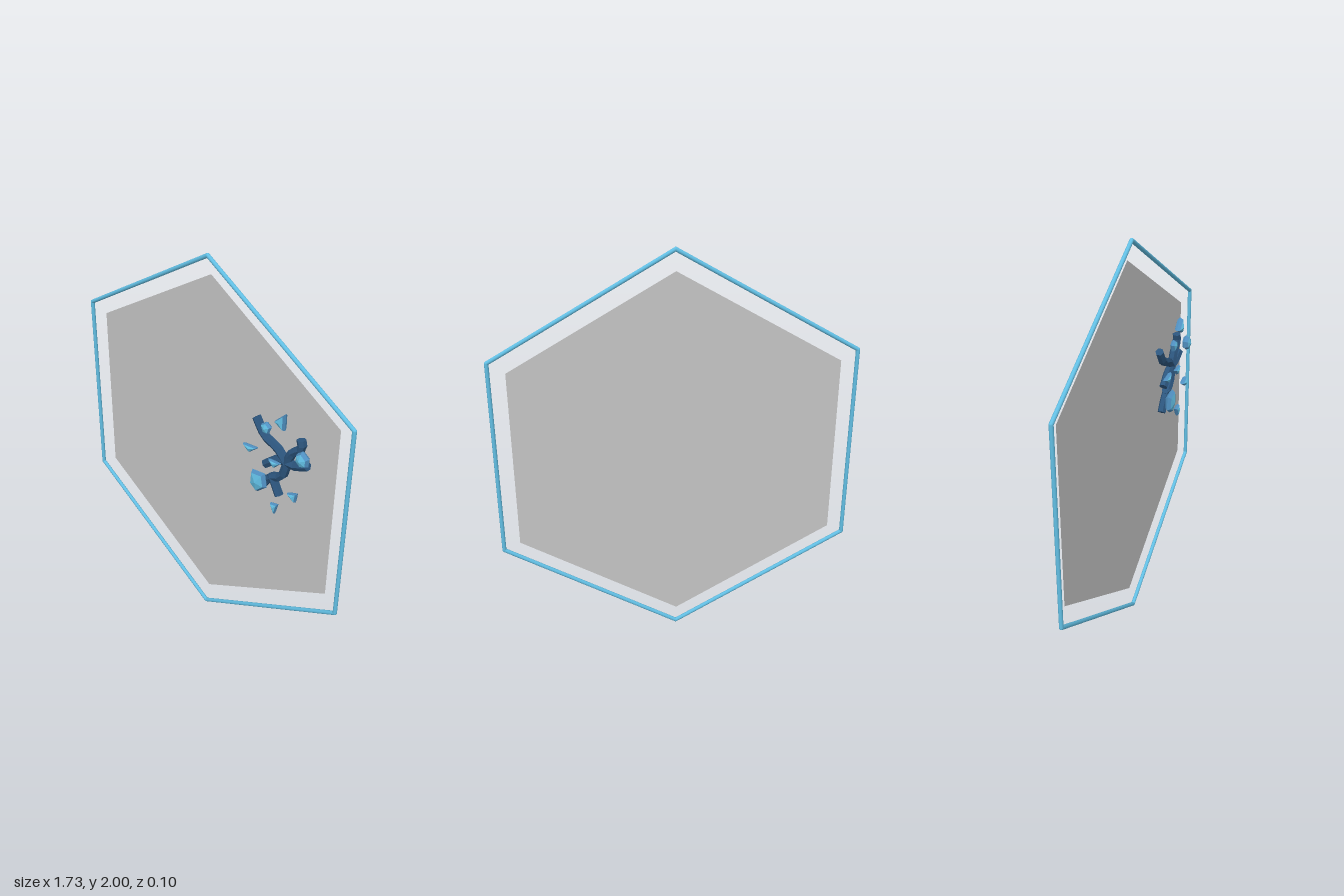
import * as THREE from 'three';
import { ConvexGeometry } from 'three/addons/geometries/ConvexGeometry.js';

const mat = (name, color, extra = {}) => {
  const m = new THREE.MeshStandardMaterial({ color, ...extra });
  m.name = name;
  return m;
};

// Pointy-topped hexagon corners
const hexagon = (r, cy, z) => Array.from({ length: 6 }, (_, i) => {
  const a = Math.PI / 2 + i * Math.PI / 3;
  return new THREE.Vector3(r * Math.cos(a), cy + r * Math.sin(a), z);
});

export function createModel() {
  const root = new THREE.Group();
  root.name = 'crackedHexPanel';
  const panelGrey = mat('panelGrey', 0xc5c5c5, { side: THREE.DoubleSide });
  const frameBlue = mat('frameBlue', 0x62bfe4);
  const crackNavy = mat('crackNavy', 0x2c557d, { flatShading: true });
  const crystalBlue = mat('crystalBlue', 0x4f8fc0, { flatShading: true });
  const crystalFace = mat('crystalFace', 0x62bfe4, { flatShading: true });

  const add = (parent, name, geometry, material) => {
    const mesh = new THREE.Mesh(geometry, material);
    mesh.name = name;
    parent.add(mesh);
    return mesh;
  };
  const group = (name) => {
    const g = new THREE.Group();
    g.name = name;
    root.add(g);
    return g;
  };

  // Flat backing panel
  const panelShape = new THREE.Shape(hexagon(0.895, 1.003, 0).map(p => new THREE.Vector2(p.x, p.y)));
  add(root, 'panel', new THREE.ShapeGeometry(panelShape), panelGrey).position.z = -0.055;

  // Slim round frame: six rods with ball joints
  const frame = group('frame');
  const corners = hexagon(0.99, 1, -0.034);
  corners.forEach((a, i) => {
    const b = corners[(i + 1) % 6];
    const rod = add(frame, 'frameRod', new THREE.CylinderGeometry(0.01, 0.01, a.distanceTo(b), 12, 1, true), frameBlue);
    rod.position.copy(a).lerp(b, 0.5);
    rod.quaternion.setFromUnitVectors(new THREE.Vector3(0, 1, 0), b.clone().sub(a).normalize());
    add(frame, 'frameJoint', new THREE.SphereGeometry(0.01, 12, 8), frameBlue).position.copy(a);
  });

  // Branching crack made of six-sided tubes with closed ends
  const cracks = group('cracks');
  const R = 0.022, Z = -0.018;
  [
    [[0.335, 1.34], [0.392, 1.265], [0.471, 1.235], [0.53, 1.18]],
    [[0.6, 1.34], [0.607, 1.30], [0.555, 1.25], [0.524, 1.175]],
    [[0.645, 1.225], [0.566, 1.19], [0.487, 1.185], [0.402, 1.12]],
    [[0.53, 1.19], [0.503, 1.103], [0.434, 1.06], [0.378, 0.985]],
    [[0.44, 1.085], [0.465, 1.04], [0.492, 0.99]],
  ].forEach(path => {
    const curve = new THREE.CatmullRomCurve3(path.map(([x, y]) => new THREE.Vector3(x, y, Z)));
    add(cracks, 'crackBranch', new THREE.TubeGeometry(curve, 7, R, 6), crackNavy);
    [0, 1].forEach(t => {
      const cap = add(cracks, 'crackEnd', new THREE.CircleGeometry(R, 6), crackNavy);
      cap.position.copy(curve.getPoint(t));
      const dir = curve.getTangent(t).multiplyScalar(t ? 1 : -1);
      cap.lookAt(cap.position.clone().add(dir));
    });
  });

  // Faceted crystals: [outline, half depth]; darker body with a lighter raised front
  const crystals = group('crystals');
  [
    [[[0.54, 1.458], [0.483, 1.402], [0.54, 1.373]], 0.023],
    [[[0.405, 1.352], [0.434, 1.373], [0.463, 1.355], [0.45, 1.318], [0.42, 1.315]], 0.018],
    [[[0.615, 1.295], [0.645, 1.32], [0.682, 1.295], [0.68, 1.255], [0.645, 1.24], [0.617, 1.26]], 0.024],
    [[[0.297, 1.203], [0.39, 1.215], [0.34, 1.172]], 0.016],
    [[[0.358, 1.087], [0.435, 1.099], [0.45, 1.03], [0.397, 0.982], [0.353, 1.013]], 0.024],
    [[[0.575, 1.07], [0.633, 1.092], [0.625, 1.04]], 0.018],
    [[[0.48, 0.965], [0.525, 0.975], [0.507, 0.913]], 0.016],
    [[[0.455, 1.193], [0.53, 1.2], [0.49, 1.16]], 0.014],
  ].forEach(([outline, d]) => {
    const cx = outline.reduce((s, p) => s + p[0], 0) / outline.length;
    const cy = outline.reduce((s, p) => s + p[1], 0) / outline.length;
    const ring = (scale, z) => outline.map(([x, y]) =>
      new THREE.Vector3(cx + (x - cx) * scale, cy + (y - cy) * scale, z));
    const tip = (z) => new THREE.Vector3(cx, cy, z);
    const front = ring(0.78, 0.55 * d);
    const body = [...front, ...ring(1, -0.2 * d), ...ring(0.75, -0.75 * d), tip(-d)];
    add(crystals, 'crystalBody', new ConvexGeometry(body), crystalBlue).position.z = 0.025;
    add(crystals, 'crystalFront', new ConvexGeometry([...front, tip(d)]), crystalFace).position.z = 0.025;
  });

  return root;
}
